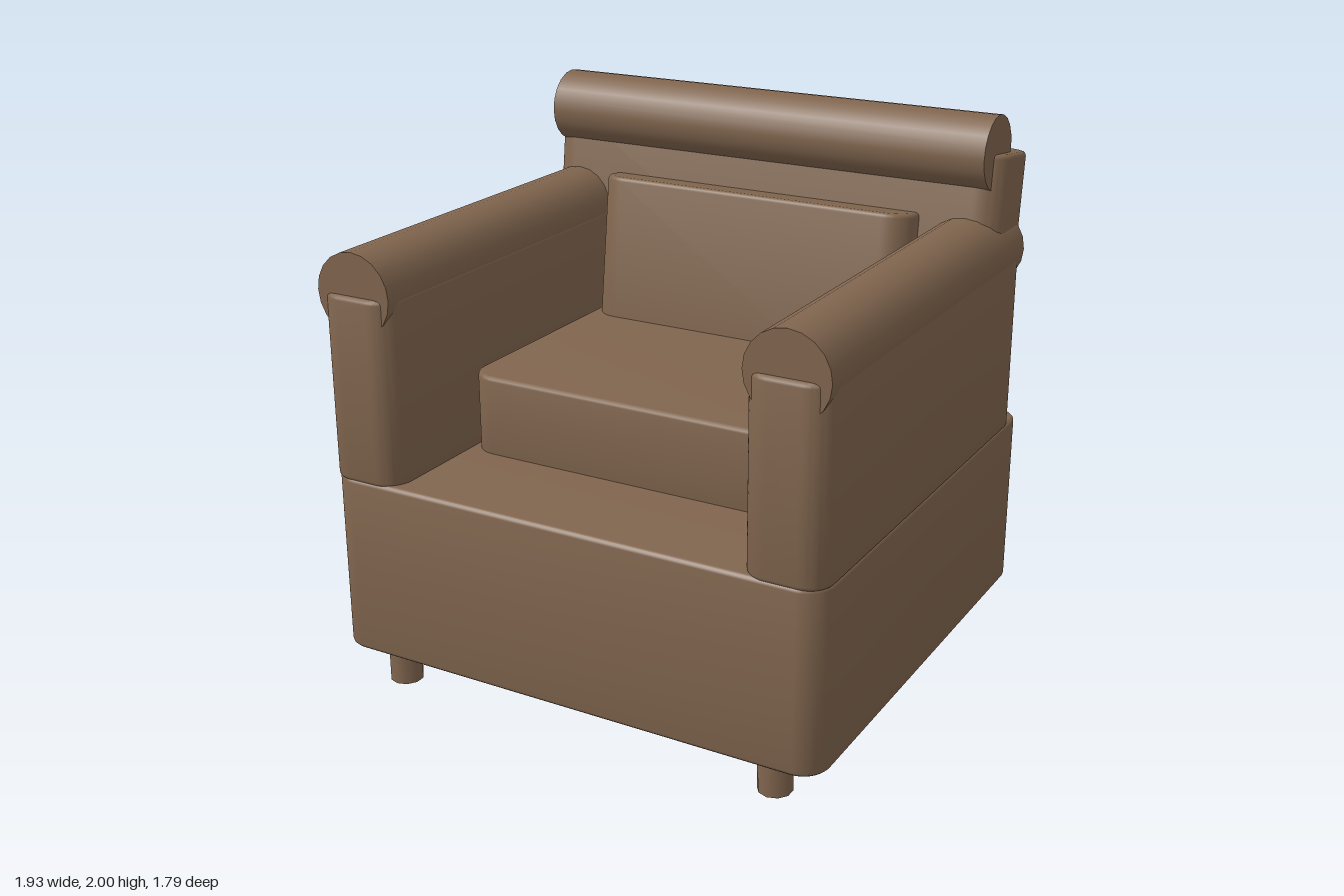
import * as THREE from 'three';
import { toCreasedNormals } from 'three/addons/utils/BufferGeometryUtils.js';

const leather = new THREE.MeshStandardMaterial({ color: 0x80654e });
leather.name = 'brown leather';

// Upholstered block: rounded plan (w by d) rising h from its base, with a small soft bevel
function block(name, w, h, d, radius, bevel = 0.016) {
  const x = w / 2 - bevel, y = d / 2 - bevel, r = radius - bevel;
  const plan = new THREE.Shape();
  plan.moveTo(-x + r, -y);
  plan.lineTo(x - r, -y);
  plan.absarc(x - r, -y + r, r, -Math.PI / 2, 0);
  plan.lineTo(x, y - r);
  plan.absarc(x - r, y - r, r, 0, Math.PI / 2);
  plan.lineTo(-x + r, y);
  plan.absarc(-x + r, y - r, r, Math.PI / 2, Math.PI);
  plan.lineTo(-x, -y + r);
  plan.absarc(-x + r, -y + r, r, Math.PI, Math.PI * 1.5);
  const geo = new THREE.ExtrudeGeometry(plan, {
    depth: h - 2 * bevel, bevelEnabled: true, bevelSize: bevel,
    bevelThickness: bevel, bevelSegments: 3, curveSegments: 8,
  });
  geo.rotateX(-Math.PI / 2).translate(0, bevel, 0);
  const mesh = new THREE.Mesh(toCreasedNormals(geo, 0.7), leather);
  mesh.name = name;
  return mesh;
}

function cylinder(name, r, length, sides) {
  const mesh = new THREE.Mesh(new THREE.CylinderGeometry(r, r, length, sides), leather);
  mesh.name = name;
  return mesh;
}

export function createModel() {
  const chair = new THREE.Group();
  chair.name = 'armchair';
  const add = (mesh, x, y, z) => {
    mesh.position.set(x, y, z);
    chair.add(mesh);
    return mesh;
  };

  // Base and seat
  add(block('base', 1.92, 0.67, 1.78, 0.1), 0, 0.14, 0.01);
  add(block('seatCushion', 1.32, 0.31, 1.07, 0.1), 0, 0.795, -0.065);

  // Back and its cushion lean backwards
  const lean = -0.126;
  add(block('back', 1.87, 1.053, 0.33, 0.1), 0, 0.8, -0.6).rotation.x = lean;
  add(block('backCushion', 1.285, 0.736, 0.3, 0.1), 0, 0.9, -0.468).rotation.x = lean;

  // Head roll along the top of the back
  add(cylinder('headRoll', 0.137, 1.79, 20), 0, 1.864, -0.623).rotation.z = Math.PI / 2;

  for (const [side, s] of [['left', 1], ['right', -1]]) {
    // Arm panel with a roll on top
    add(block(side + 'Arm', 0.295, 0.68, 1.69, 0.09), s * 0.813, 0.8, 0.055);
    add(cylinder(side + 'ArmRoll', 0.15, 1.65, 20), s * 0.815, 1.485, 0.055).rotation.x = Math.PI / 2;

    // Legs
    add(cylinder(side + 'FrontLeg', 0.061, 0.16, 10), s * 0.758, 0.08, 0.788);
    add(cylinder(side + 'BackLeg', 0.061, 0.16, 10), s * 0.758, 0.08, -0.635);
  }
  return chair;
}
